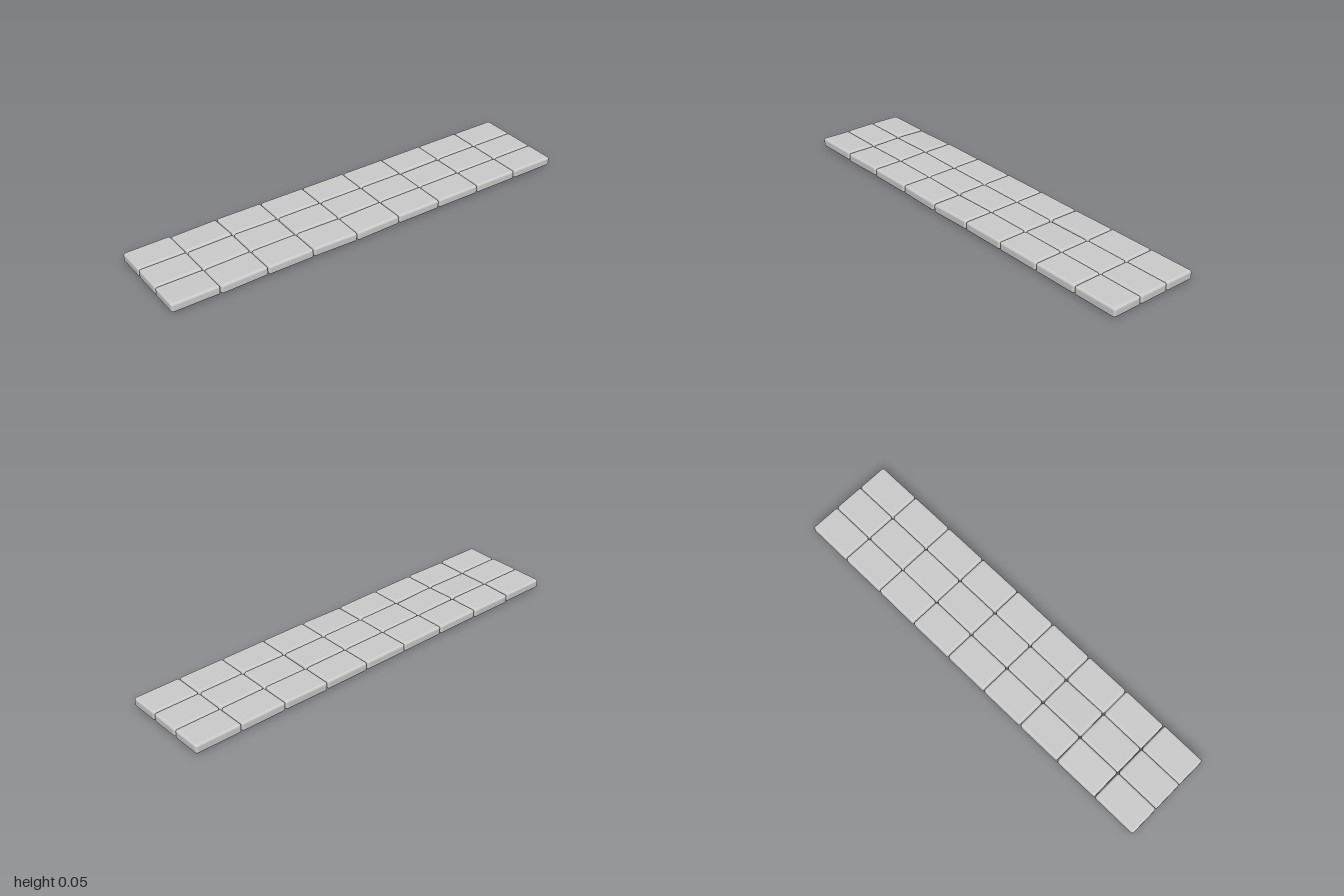
import * as THREE from 'three';
import { RoundedBoxGeometry } from 'three/addons/geometries/RoundedBoxGeometry.js';

const COLS = 9, ROWS = 3;
const PITCH_X = 2 / COLS, PITCH_Z = 0.147;
const WIDTH = 0.219, HEIGHT = 0.043, DEPTH = 0.145;

// Settled slabs, keyed "column,row" (row 0 is the back): [tilt x, yaw, tilt z, lift]
const SETTLED = {
  '0,0': [-0.02, 0, 0.01, -0.001],
  '1,0': [-0.045, 0.008, 0.02, -0.0015],
  '6,0': [-0.015, -0.006, 0.01, 0],
  '1,1': [0.01, 0, 0.02, -0.001],
  '2,1': [0.02, 0.01, -0.02, -0.001],
  '6,1': [-0.02, 0, 0.015, -0.002],
  '0,2': [-0.02, -0.006, 0.004, 0],
  '1,2': [-0.012, 0, 0.022, -0.001],
  '3,2': [0, -0.008, -0.012, -0.001],
  '4,2': [0, 0, 0.025, -0.002],
};

export function createModel() {
  const path = new THREE.Group();
  path.name = 'pavingStrip';
  const material = new THREE.MeshStandardMaterial({ color: 0xcccccc });
  // One soft-edged slab shared by the whole strip
  const slabGeometry = new RoundedBoxGeometry(WIDTH, HEIGHT, DEPTH, 4, 0.011);

  for (let row = 0; row < ROWS; row++) {
    for (let col = 0; col < COLS; col++) {
      const [rx, ry, rz, lift] = SETTLED[`${col},${row}`] ?? [0, 0, 0, 0];
      const slab = new THREE.Mesh(slabGeometry, material);
      slab.name = `slab_row${row + 1}_column${col + 1}`;
      slab.position.set(
        (col - (COLS - 1) / 2) * PITCH_X,
        0.0285 + lift,
        (row - (ROWS - 1) / 2) * PITCH_Z,
      );
      slab.rotation.set(rx, ry, rz);
      path.add(slab);
    }
  }
  return path;
}
